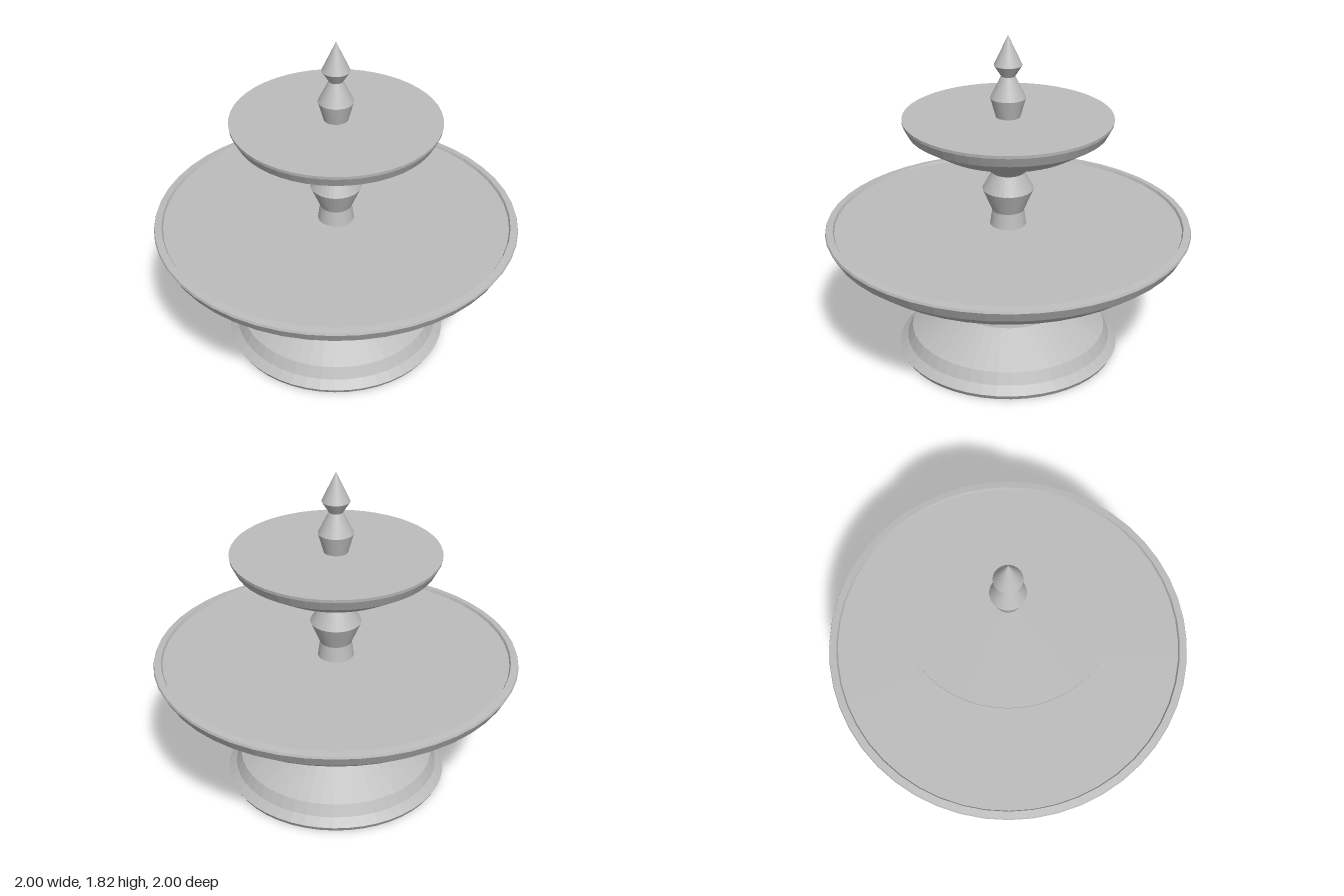
import * as THREE from 'three';

const stone = new THREE.MeshStandardMaterial({ color: 0xbcbcbc, flatShading: true });
stone.name = 'grey stone';

// Turned part: profile of [radius, height] pairs, from the bottom up
function turned(name, profile, segments) {
  const points = profile.map(([r, y]) => new THREE.Vector2(r, y));
  const mesh = new THREE.Mesh(new THREE.LatheGeometry(points, segments), stone);
  mesh.name = name;
  return mesh;
}

export function createModel() {
  const fountain = new THREE.Group();
  fountain.name = 'fountain';

  // Stepped foot flaring up into the pedestal
  fountain.add(turned('pedestal', [
    [0, 0], [0.605, 0], [0.62, 0.027], [0.575, 0.065], [0.545, 0.128],
    [0.326, 0.268], [0.294, 0.417], [0.315, 0.45], [0, 0.45],
  ], 48));

  // Wide basin with a raised lip around the water
  fountain.add(turned('lowerBasin', [
    [0, 0.448], [0.315, 0.45], [0.635, 0.515], [0.88, 0.62], [0.97, 0.69],
    [1, 0.747], [0.996, 0.76], [0.958, 0.765], [0.95, 0.748],
  ], 48));
  fountain.add(turned('lowerWater', [[0.952, 0.75], [0, 0.75]], 48));

  // Baluster carrying the small basin
  fountain.add(turned('column', [
    [0.1, 0.745], [0.087, 0.835], [0.14, 0.96], [0.088, 1.057],
    [0.19, 1.14], [0.1, 1.142], [0.1, 1.15],
  ], 32));

  // Small basin, filled to the brim
  fountain.add(turned('upperBasin', [
    [0, 1.147], [0.215, 1.148], [0.395, 1.215], [0.535, 1.302],
    [0.562, 1.355], [0.564, 1.372],
  ], 48));
  fountain.add(turned('upperWater', [[0.564, 1.372], [0, 1.372]], 48));

  // Pointed finial
  fountain.add(turned('finial', [
    [0.065, 1.37], [0.095, 1.478], [0.037, 1.595], [0.075, 1.655], [0, 1.815],
  ], 32));

  return fountain;
}
